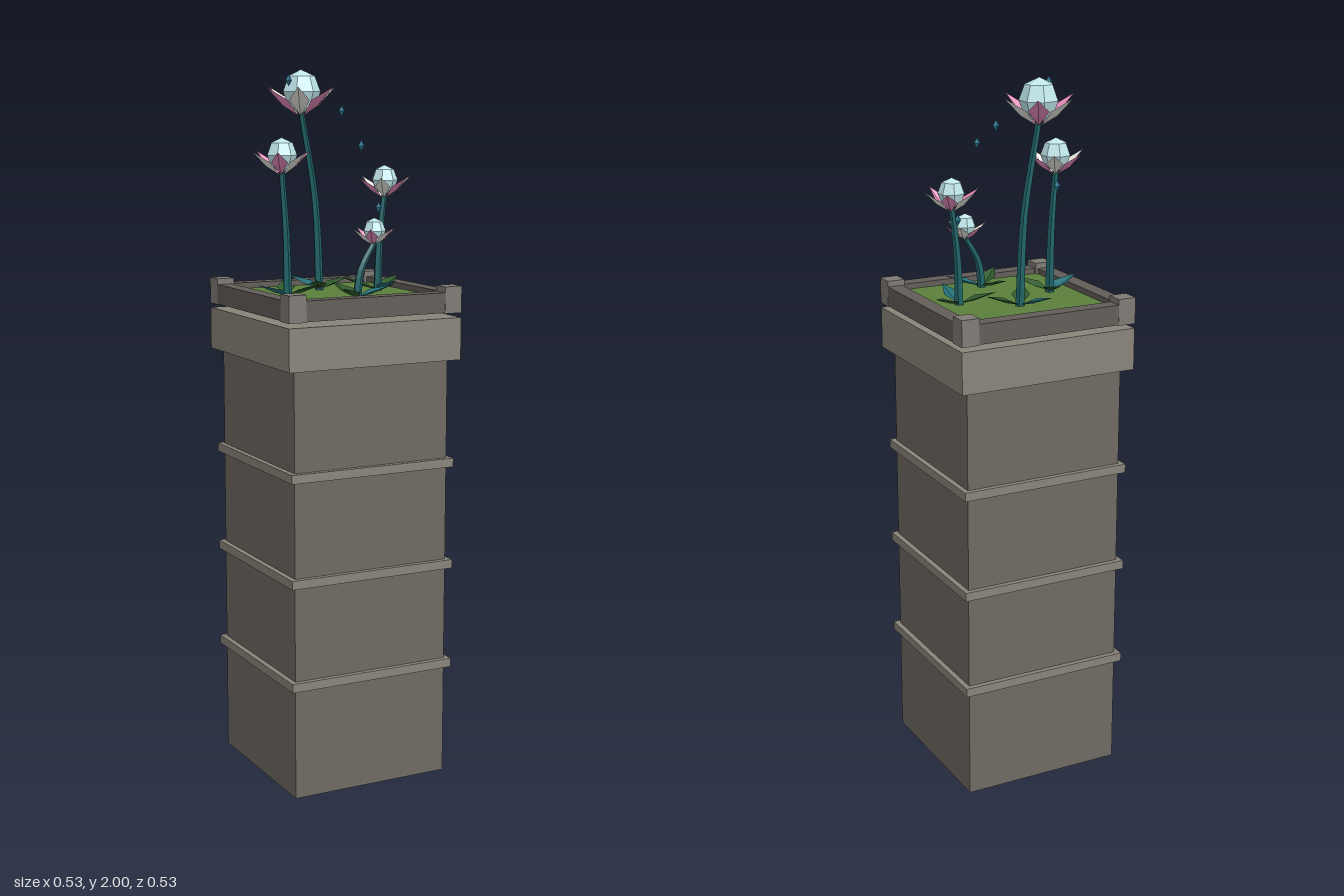
import * as THREE from 'three';

const mat = (color, side = THREE.FrontSide) => new THREE.MeshStandardMaterial({ color, flatShading: true, side });

const M = {
  stone: mat(0x6f6a62), trim: mat(0x8a847a), rail: mat(0x625d58), post: mat(0x7f7b75),
  grass: mat(0x5a7f3a), stem: mat(0x1f6468), bulb: mat(0xbfe6ea), drop: mat(0x2a7d99),
  white: mat(0xe8e6de, THREE.DoubleSide), pink: mat(0xe58ab8, THREE.DoubleSide),
  leaf: mat(0x2f5a2c, THREE.DoubleSide), tealLeaf: mat(0x246f78, THREE.DoubleSide),
};

function add(parent, name, geometry, material, x = 0, y = 0, z = 0) {
  const mesh = new THREE.Mesh(geometry, material);
  mesh.name = name;
  mesh.position.set(x, y, z);
  parent.add(mesh);
  return mesh;
}

// Box given by its widths and its lower and upper heights
function block(parent, name, material, w, d, y0, y1, x = 0, z = 0) {
  return add(parent, name, new THREE.BoxGeometry(w, y1 - y0, d), material, x, (y0 + y1) / 2, z);
}

// Folded pointed blade along +x: base, two side corners, ridge point and tip
function blade(base, side, ridge, tip) {
  const [sx, sy, sz] = side;
  const b = [...base, 0], r = [...ridge, 0], t = [...tip, 0];
  const left = [sx, sy, -sz], right = [sx, sy, sz];
  const geo = new THREE.BufferGeometry();
  const tris = [b, r, left, left, r, t, b, right, r, r, right, t];
  geo.setAttribute('position', new THREE.Float32BufferAttribute(tris.flat(), 3));
  geo.computeVertexNormals();
  return geo;
}

// Stem that narrows towards the head
function stemGeometry(points, r0, r1) {
  const curve = new THREE.CatmullRomCurve3(points.map(p => new THREE.Vector3(...p)));
  const rows = 8, sides = 5;
  const geo = new THREE.TubeGeometry(curve, rows, 1, sides);
  const pos = geo.attributes.position, v = new THREE.Vector3();
  for (let i = 0; i < pos.count; i++) {
    const t = Math.floor(i / (sides + 1)) / rows;
    const c = curve.getPointAt(t);
    v.fromBufferAttribute(pos, i).sub(c).multiplyScalar(r0 + (r1 - r0) * t).add(c);
    pos.setXYZ(i, v.x, v.y, v.z);
  }
  geo.computeVertexNormals();
  return geo;
}

const GROUND = 1.38;

function flower({ foot, head, R, bulb, turn, leaves, bend }) {
  const g = new THREE.Group();
  g.name = 'flower';
  const [fx, fz] = foot, [hx, hy, hz] = head;
  const top = hy - 0.5 * R;
  const mid = t => [fx + (hx - fx) * bend * t, GROUND + (top - GROUND) * t, fz + (hz - fz) * t];
  add(g, 'stem', stemGeometry([[fx, GROUND - 0.01, fz], mid(0.5), [hx, top, hz]], 0.013, 0.008), M.stem);

  // Bud with alternating petals
  const bloom = new THREE.Group();
  bloom.name = 'bloom';
  bloom.position.set(hx, hy, hz);
  g.add(bloom);
  add(bloom, 'bud', new THREE.SphereGeometry(bulb, 7, 4), M.bulb).scale.y = 1.1;
  const petal = blade([0.08 * R, -0.62 * R], [0.5 * R, -0.22 * R, 0.27 * R],
    [0.52 * R, -0.36 * R], [R, 0.12 * R]);
  for (let i = 0; i < 6; i++) {
    add(bloom, 'petal', petal, i % 2 ? M.pink : M.white).rotation.y = -(turn + i * Math.PI / 3);
  }

  // Ground leaves, aimed at their tips
  leaves.forEach(([x, z], i) => {
    const dx = x - fx, dz = z - fz, L = Math.hypot(dx, dz);
    const geo = blade([0, 0.002], [L * 0.38, 0.022, 0.026], [L * 0.4, 0.012], [L, 0.037]);
    add(g, 'leaf', geo, i === 2 ? M.tealLeaf : M.leaf, fx, GROUND, fz).rotation.y = -Math.atan2(dz, dx);
  });
  return g;
}

export function createModel() {
  const model = new THREE.Group();
  model.name = 'flowerPillar';

  // Pillar with bands and cap
  block(model, 'pillar', M.stone, 0.472, 0.472, 0, 1.21);
  for (const y of [0.315, 0.608, 0.902]) block(model, 'band', M.trim, 0.502, 0.502, y, y + 0.025);
  block(model, 'cap', M.trim, 0.526, 0.526, 1.207, 1.325);

  // Planter frame
  block(model, 'grass', M.grass, 0.45, 0.45, 1.342, GROUND);
  for (const s of [-1, 1]) {
    block(model, 'rail', M.rail, 0.526, 0.044, 1.34, 1.396, 0, s * 0.241);
    block(model, 'rail', M.rail, 0.044, 0.44, 1.34, 1.396, s * 0.241, 0);
    for (const t of [-1, 1]) block(model, 'cornerPost', M.post, 0.052, 0.052, 1.338, 1.412, s * 0.2375, t * 0.2375);
  }

  // Flowers
  const deg = Math.PI / 180;
  [
    { foot: [0, -0.088], head: [-0.055, 1.937, -0.09], R: 0.107, bulb: 0.055, turn: 0, bend: 0.45,
      leaves: [[0.105, -0.09], [-0.053, 0], [-0.053, -0.182]] },
    { foot: [-0.148, 0.012], head: [-0.165, 1.767, 0.014], R: 0.086, bulb: 0.043, turn: 62 * deg, bend: 0.5,
      leaves: [[-0.073, 0.09], [-0.12, -0.075], [-0.25, 0.04]] },
    { foot: [0.142, 0], head: [0.164, 1.692, -0.003], R: 0.08, bulb: 0.038, turn: 5 * deg, bend: 0.5,
      leaves: [[0.055, -0.055], [0.24, -0.053], [0.145, 0.105]] },
    { foot: [-0.003, 0.15], head: [0.052, 1.563, 0.146], R: 0.063, bulb: 0.032, turn: 68 * deg, bend: 0.45,
      leaves: [[-0.025, 0.042], [-0.078, 0.218], [0.1, 0.176]] },
  ].forEach(f => model.add(flower(f)));

  // Floating droplets
  const drop = new THREE.OctahedronGeometry(0.01);
  for (const [x, y, z] of [[-0.147, 1.967, 0.024], [0.088, 1.883, -0.118], [0.011, 1.793, 0.148],
    [-0.11, 1.703, -0.095], [0.145, 1.615, 0]]) {
    add(model, 'droplet', drop, M.drop, x, y, z).scale.y = 1.6;
  }
  return model;
}
